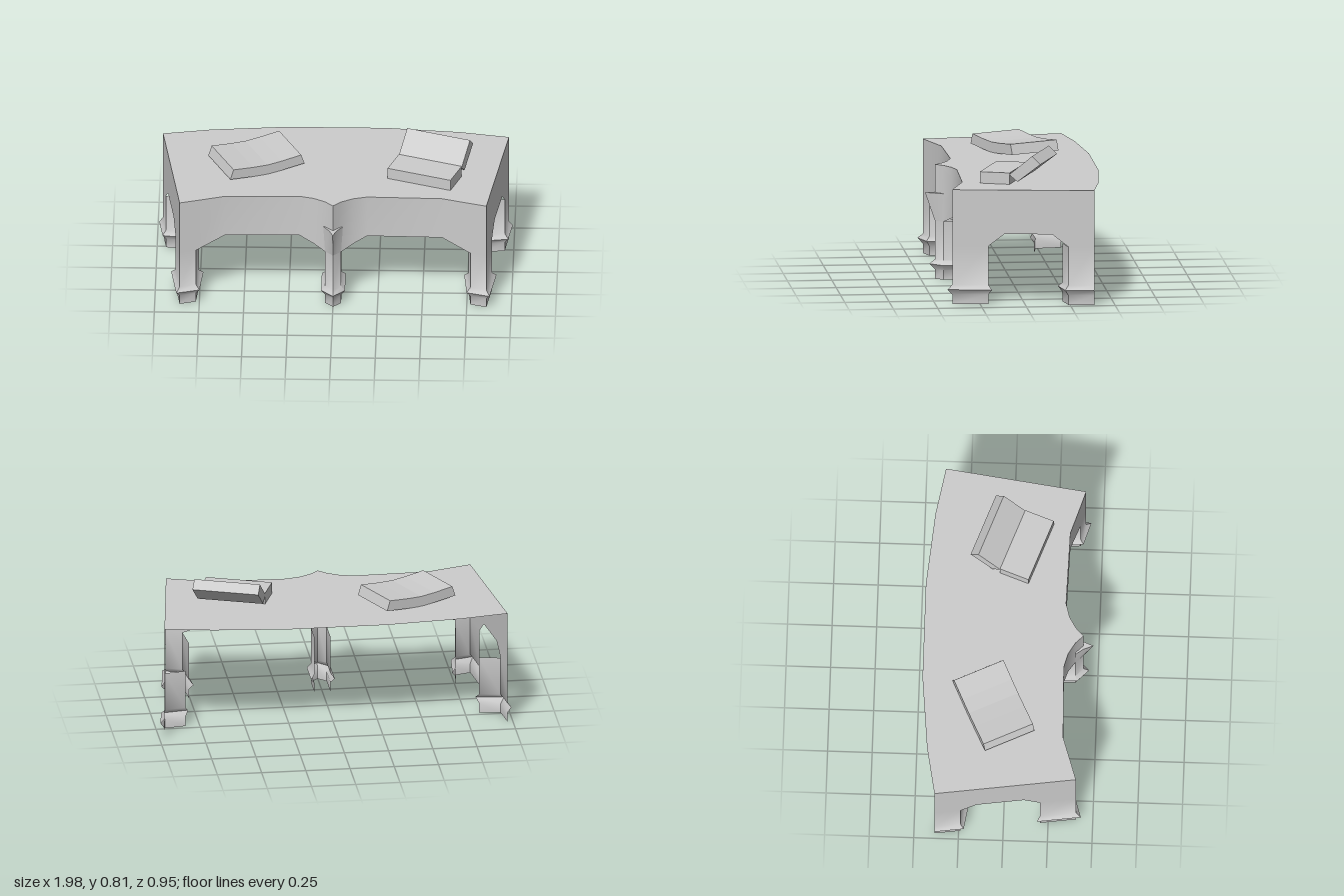
import * as THREE from 'three';
import { toCreasedNormals } from 'three/addons/utils/BufferGeometryUtils.js';

const TOP = 0.65, ARCH = 0.33;

// Mirror a plan list across x = 0, keeping the outside on the same hand.
const mirror = pts => pts.map(([x, ...rest]) => [-x, ...rest]).reverse();

// Skin a grid of points: rows go upward, points in a row go left to right seen from outside.
function skin(rows) {
  const n = rows[0].length, index = [];
  for (let j = 0; j < rows.length - 1; j++) {
    for (let i = 0; i < n - 1; i++) {
      const a = j * n + i, b = a + 1, c = b + n, d = a + n;
      index.push(a, b, c, a, c, d);
    }
  }
  const g = new THREE.BufferGeometry();
  g.setAttribute('position', new THREE.Float32BufferAttribute(rows.flat(2), 3));
  g.setIndex(index);
  return toCreasedNormals(g, 0.75);
}

// Push an open plan line outward by d with mitred corners; ends also grow along the line.
function offset(pts, d, growStart, growEnd) {
  const dirs = pts.slice(1).map((p, i) =>
    new THREE.Vector2(p[0] - pts[i][0], p[1] - pts[i][1]).normalize());
  const last = pts.length - 1;
  return pts.map(([x, z], i) => {
    const a = dirs[Math.max(i - 1, 0)], b = dirs[Math.min(i, last - 1)];
    const k = d / (1 + a.dot(b));
    const e = (i === 0 && growStart) ? -d : (i === last && growEnd) ? d : 0;
    return [x - (a.y + b.y) * k + a.x * e, z + (a.x + b.x) * k + a.y * e];
  });
}

// Leg shell with a pointed moulding near the foot.
function legGeometry(plan, growStart = true, growEnd = true) {
  const profile = [[0, 0], [0.055, 0], [0.085, 0.022], [0.11, 0], [ARCH, 0]];
  return skin(profile.map(([y, d]) =>
    offset(plan, d, growStart, growEnd).map(([x, z]) => [x, y, z])));
}

// Panel from [x, z, bottom height] points up to the desk top.
const panelGeometry = pts => skin([
  pts.map(([x, z, y]) => [x, y, z]),
  pts.map(([x, z]) => [x, TOP, z]),
]);

// Straight prism from an outline in x and y.
function prism(outline, depth) {
  const shape = new THREE.Shape(outline.map(p => new THREE.Vector2(...p)));
  return new THREE.ExtrudeGeometry(shape, { depth, bevelEnabled: false });
}

export function createModel() {
  const model = new THREE.Group();
  const grey = new THREE.MeshStandardMaterial({ color: 0xcccccc, side: THREE.DoubleSide });
  grey.name = 'plainGrey';
  const add = (name, geometry, parent = model) => {
    const m = new THREE.Mesh(geometry, grey);
    m.name = name;
    parent.add(m);
    return m;
  };

  // Front panel: shallow curve with a pointed centre and two arches
  const frontRight = [[0.045, 0.375, ARCH], [0.11, 0.337, 0.36], [0.19, 0.315, 0.4],
    [0.61, 0.325, 0.4], [0.77, 0.377, ARCH], [0.86, 0.405, ARCH]];
  const front = [...mirror(frontRight), [0, 0.42, ARCH], ...frontRight];
  add('frontPanel', panelGeometry(front));

  // Side panels, each with one arch
  const sideX = z => 0.86 + (0.405 - z) * 0.139;
  const side = [[0.405, ARCH], [0.205, ARCH], [0.115, 0.4], [-0.15, 0.4], [-0.24, ARCH], [-0.385, ARCH]]
    .map(([z, y]) => [sideX(z), z, y]);
  add('leftPanel', panelGeometry(side));
  add('rightPanel', panelGeometry(mirror(side)));

  // Legs with inward returns
  const cornerLeg = [[0.755, 0.21], [0.77, 0.377], [0.86, 0.405], [sideX(0.205), 0.205]];
  const backLeg = [[0.83, -0.22], [sideX(-0.24), -0.24], [sideX(-0.385), -0.385]];
  add('frontLeftLeg', legGeometry(cornerLeg));
  add('frontRightLeg', legGeometry(mirror(cornerLeg)));
  add('backLeftLeg', legGeometry(backLeg, true, false));
  add('backRightLeg', legGeometry(mirror(backLeg), false, true));
  add('centreLeg', legGeometry([[-0.045, 0.21], [-0.045, 0.375], [0, 0.42], [0.045, 0.375], [0.045, 0.21]]));

  // Flared bracket above the centre leg
  const bracketRow = (y, w, zBack, wMid, zMid, zTip) =>
    [[-w, y, zBack], [-wMid, y, zMid], [0, y, zTip], [wMid, y, zMid], [w, y, zBack]];
  add('centreBracket', skin([
    bracketRow(ARCH, 0.045, 0.375, 0.022, 0.398, 0.42),
    bracketRow(0.49, 0.055, 0.375, 0.022, 0.42, 0.475),
    bracketRow(0.49, 0, 0.375, 0, 0.375, 0.375),
  ]));

  // Desk top: bowed back edge, front edge follows the panel
  const back = [[0.97, -0.385], [0.7, -0.435], [0.28, -0.475]];
  const outline = [...front.map(([x, z]) => [x, z]), ...back, ...mirror(back)];
  const topShape = new THREE.Shape(outline.map(([x, z]) => new THREE.Vector2(x, -z)));
  add('deskTop', new THREE.ShapeGeometry(topShape).rotateX(-Math.PI / 2)).position.y = TOP;

  // Open book lying flat, sagging at the spine
  const openBook = add('openBook', prism([[0, 0.667], [0.14, 0.654], [0.227, 0.649], [0.315, 0.654],
    [0.455, 0.667], [0.435, 0.725], [0.315, 0.713], [0.227, 0.708], [0.14, 0.713], [0.02, 0.725]], 0.302));
  openBook.position.set(-0.71, 0, -0.11);
  openBook.rotation.y = 0.444;

  // Half-raised book: flat block plus tilted block hinged at its back edge
  const raisedBook = new THREE.Group();
  raisedBook.name = 'raisedBook';
  raisedBook.position.set(0.3, 0, 0.1);
  raisedBook.rotation.y = 1.22;
  add('flatHalf', prism([[0, TOP], [0.172, TOP], [0.172, 0.715], [0, 0.715]], 0.378), raisedBook);
  add('tiltedHalf', prism([[0.17, 0.705], [0.218, 0.667], [0.35, 0.77], [0.302, 0.815]], 0.378), raisedBook);
  model.add(raisedBook);

  return model;
}
